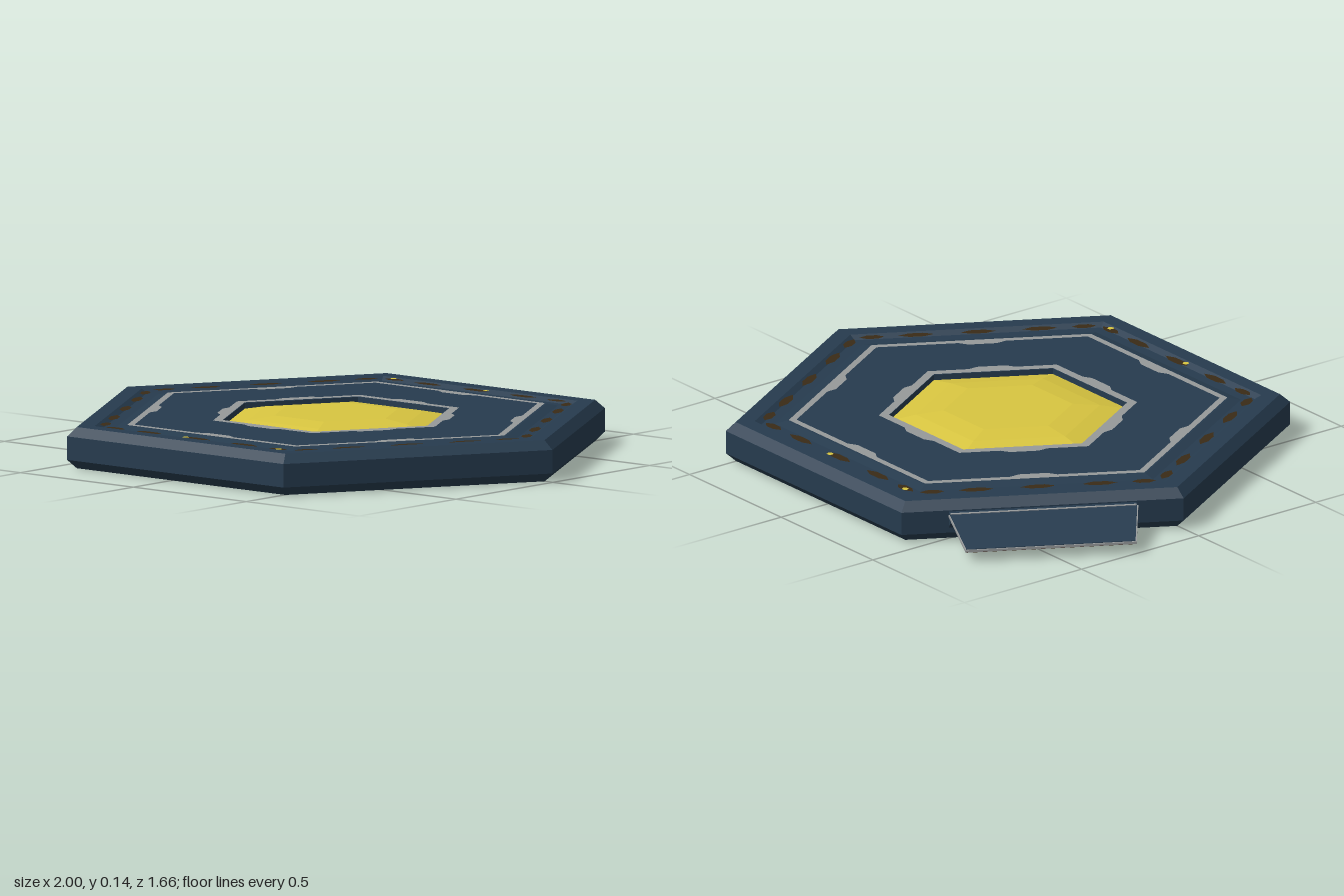
import * as THREE from 'three';

const mat = (name, color, side = THREE.FrontSide) => {
  const m = new THREE.MeshStandardMaterial({ color, side });
  m.name = name;
  return m;
};
const COS30 = Math.cos(Math.PI / 6);

export function createModel() {
  const blue = mat('navy blue', 0x263b4e);
  const grey = mat('light grey', 0x96999a);
  const yellow = mat('yellow', 0xd8c540);
  const brown = mat('dark brown', 0x3a2b16);
  const rust = mat('rib brown', 0x4a3528);

  const model = new THREE.Group();
  model.name = 'hexagonalPlatform';
  const hex = new THREE.Group();
  hex.name = 'platform';
  hex.position.x = 0.04;
  model.add(hex);

  const add = (parent, name, geometry, material) => {
    const m = new THREE.Mesh(geometry, material);
    m.name = name;
    parent.add(m);
    return m;
  };
  const flat = (g) => {
    const n = g.toNonIndexed();
    n.computeVertexNormals();
    return n;
  };
  // six-sided lathe of [apothem, y] points
  const hexLathe = (points) => flat(new THREE.LatheGeometry(
    points.map(([a, y]) => new THREE.Vector2(a / COS30, y)), 6, Math.PI / 2));

  // hexagon outline with a soft bump in the middle of each side
  const hexPoints = (a, bump = 0, half = 0.08) => {
    const pts = [];
    for (let i = 0; i < 6; i++) {
      const t = Math.PI / 6 + i * Math.PI / 3;
      const put = (u, v) => pts.push(new THREE.Vector2(
        v * Math.cos(t) - u * Math.sin(t), v * Math.sin(t) + u * Math.cos(t)));
      put(-a * Math.tan(Math.PI / 6), a);
      if (bump) {
        put(-half, a);
        put(-half * 0.6, a + bump);
        put(half * 0.6, a + bump);
        put(half, a);
      }
    }
    return pts;
  };
  const trim = (outer, inner) => {
    const s = new THREE.Shape(outer);
    s.holes.push(new THREE.Path(inner));
    return new THREE.ShapeGeometry(s).rotateX(-Math.PI / 2);
  };

  // body: bevelled rim, shallow groove and raised deck
  add(hex, 'hull', hexLathe([
    [0.684, 0], [0.8, 0], [0.83, 0.03], [0.83, 0.11], [0.8, 0.14], [0.745, 0.14],
    [0.725, 0.127], [0.685, 0.127], [0.65, 0.136], [0.35, 0.136], [0.35, 0.11],
  ]), blue);
  add(hex, 'undersidePanel', hexLathe([[0, 0.003], [0.686, 0.003]]), grey);
  add(hex, 'centrePanel', hexLathe([[0.352, 0.116], [0.27, 0.134], [0.19, 0.144], [0, 0.144]]), yellow);

  // grey trim lines on the deck
  add(hex, 'outerTrim', trim(hexPoints(0.645), hexPoints(0.622, -0.018)), grey).position.y = 0.138;
  add(hex, 'innerTrim', trim(hexPoints(0.38, 0.017), hexPoints(0.35)), grey).position.y = 0.138;

  // lens-shaped marks along the groove on every side
  const lens = new THREE.Shape([[-0.06, 0], [-0.025, -0.016], [0.025, -0.016], [0.06, 0],
    [0.025, 0.016], [-0.025, 0.016]].map(([x, y]) => new THREE.Vector2(x, y)));
  const lensGeo = new THREE.ShapeGeometry(lens).rotateX(-Math.PI / 2);
  const lampGeo = new THREE.CircleGeometry(0.012, 6).rotateX(-Math.PI / 2);
  for (let i = 0; i < 6; i++) {
    const side = new THREE.Group();
    side.name = 'grooveMarks';
    side.rotation.y = i * Math.PI / 3;
    hex.add(side);
    for (const x of [-0.36, -0.21, 0, 0.21, 0.36]) {
      const mark = add(side, 'grooveMark', lensGeo, brown);
      mark.position.set(x, 0.137, 0.72);
      if (Math.abs(x) > 0.3) mark.scale.x = 0.7;
    }
    if (i % 3 === 0) {
      for (const x of [-0.04, 0.37]) add(side, 'lamp', lampGeo, yellow).position.set(x, 0.139, 0.728);
    }
  }

  // ramp: local +z points outward from its side of the platform
  const ramp = new THREE.Group();
  ramp.name = 'ramp';
  ramp.rotation.y = Math.atan2(-COS30, -0.5);
  hex.add(ramp);

  // sloped slab between two cross-sections [halfWidth, bottom, top, z]
  const slab = (a, b) => {
    const g = new THREE.BoxGeometry(1, 1, 1);
    const p = g.attributes.position;
    for (let i = 0; i < p.count; i++) {
      const [w, lo, hi, z] = p.getZ(i) > 0 ? b : a;
      p.setXYZ(i, Math.sign(p.getX(i)) * w, p.getY(i) > 0 ? hi : lo, z);
    }
    return flat(g);
  };
  add(ramp, 'rampPlate', slab([0.318, 0.095, 0.106, 0.855], [0.287, 0.037, 0.047, 1.033]), blue);
  add(ramp, 'rampEdge', slab([0.322, 0.094, 0.103, 0.853], [0.291, 0.036, 0.044, 1.036]), grey);
  add(ramp, 'rampHinge', slab([0.318, 0.04, 0.106, 0.82], [0.318, 0.07, 0.105, 0.855]), blue);
  add(ramp, 'hingeLine', slab([0.316, 0.1, 0.108, 0.851], [0.316, 0.1, 0.107, 0.858]), grey);
  add(ramp, 'rampUnderside', slab([0.295, 0.036, 0.066, 0.94], [0.286, 0.034, 0.036, 1.033]), rust);
  const ribGeo = slab([0.022, 0.036, 0.098, 0.825], [0.022, 0.036, 0.064, 0.945]);
  for (let i = -2; i <= 2; i++) add(ramp, 'rampRib', ribGeo, rust).position.x = i * 0.135;

  return model;
}
